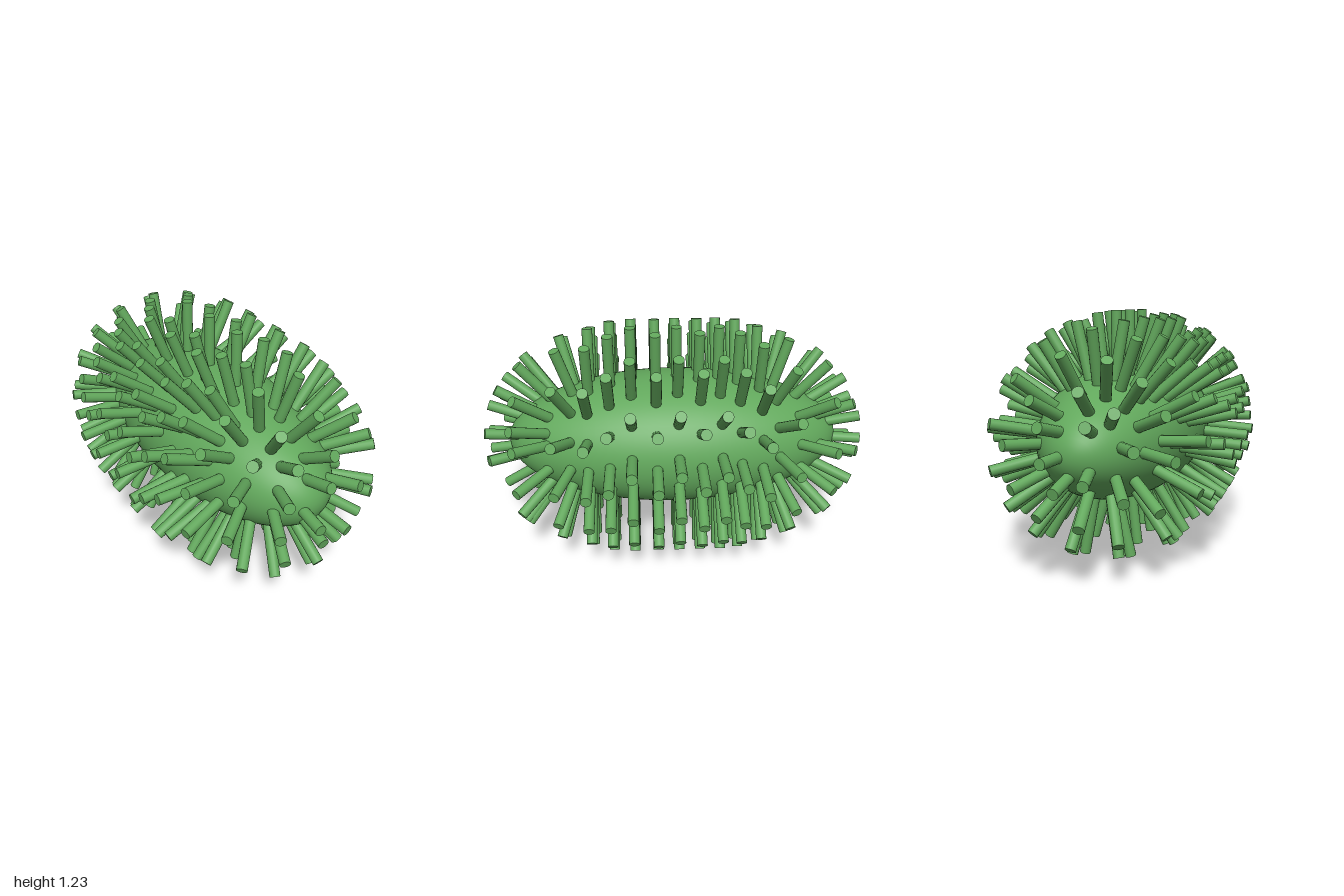
import * as THREE from 'three';

const CENTRE_Y = 0.62;
const SPINE_RADIUS = 0.027;
const CAP_Z = 0.44; // where the straight middle turns into the rounded ends
const CAP_RADIUS = 0.56; // reach of the spine tips from that point

export function createModel() {
  const model = new THREE.Group();
  const green = new THREE.MeshStandardMaterial({ color: 0x62a85c });

  // Smooth egg-shaped body lying along z
  const body = new THREE.Mesh(new THREE.SphereGeometry(1, 64, 40).rotateX(Math.PI / 2), green);
  body.name = 'body';
  body.scale.set(0.39, 0.345, 0.87);
  body.position.y = CENTRE_Y + 0.006;
  model.add(body);

  // A spine is a round peg ending at tip and pointing along dir
  const up = new THREE.Vector3(0, 1, 0);
  const spineGeometry = (length) => new THREE.CylinderGeometry(SPINE_RADIUS, SPINE_RADIUS, length, 16).translate(0, -length / 2, 0);
  const longSpine = spineGeometry(0.34);
  const shortSpine = spineGeometry(0.28);
  function addSpine(group, geometry, tip, dir) {
    const spine = new THREE.Mesh(geometry, green);
    spine.name = 'spine';
    spine.position.copy(tip);
    spine.quaternion.setFromUnitVectors(up, dir.normalize());
    group.add(spine);
  }

  function newGroup(name) {
    const group = new THREE.Group();
    group.name = name;
    group.position.y = CENTRE_Y;
    model.add(group);
    return group;
  }

  // Evenly counted angles, slightly bunched along one diagonal
  function ringAngles(count, phase) {
    return Array.from({ length: count }, (_, i) => {
      const a = phase + (i * 360) / count;
      return a - 6 * Math.cos(THREE.MathUtils.degToRad(2 * a));
    });
  }

  function radial(degrees, radius, z) {
    const a = THREE.MathUtils.degToRad(degrees);
    return new THREE.Vector3(Math.cos(a) * radius, Math.sin(a) * radius, z);
  }

  // Upright rings along the middle: z, phase in degrees, tip radius
  const middle = newGroup('middleSpines');
  const rings = [
    [0.435, 4.3, 0.583], [0.325, 9.5, 0.61], [0.215, 16.2, 0.617],
    [0.092, 9, 0.617], [-0.016, 16.5, 0.617], [-0.128, 10, 0.617],
    [-0.23, 16.2, 0.617], [-0.328, 10.5, 0.61], [-0.438, 4.3, 0.583],
  ];
  for (const [z, phase, radius] of rings) {
    for (const a of ringAngles(16, phase)) addSpine(middle, longSpine, radial(a, radius, z), radial(a, 1, 0));
  }

  // End spines fan out from one point; side is +1 for front, -1 for back
  function addCapSpine(group, side, degrees, radius) {
    const dir = radial(degrees, radius, side * Math.sqrt(CAP_RADIUS ** 2 - radius ** 2));
    const tip = dir.clone();
    tip.z += side * CAP_Z;
    addSpine(group, shortSpine, tip, dir);
  }

  // Outer fans: count, front phase, back phase, tip radius
  const front = newGroup('frontSpines');
  const back = newGroup('backSpines');
  const fans = [[15, 4, 12, 0.54], [13, -114, 20, 0.44]];
  for (const [count, frontPhase, backPhase, radius] of fans) {
    for (const a of ringAngles(count, frontPhase)) addCapSpine(front, 1, a, radius);
    for (const a of ringAngles(count, backPhase)) addCapSpine(back, -1, a, radius);
  }

  // Looser inner spines around each pole: angle, tip radius
  const frontInner = [
    [84, 0.305], [118, 0.33], [147, 0.265], [184, 0.26], [222, 0.285], [269, 0.29], [303, 0.45], [5, 0.27], [34, 0.43],
    [-45, 0.126], [-120, 0.11], [180, 0.085], [97, 0.19], [37, 0.2],
  ];
  for (const [a, radius] of frontInner) addCapSpine(front, 1, a, radius);
  for (const a of ringAngles(9, 15)) addCapSpine(back, -1, a, 0.3);
  const backInner = [[0, 0.085], [-75, 0.13], [-140, 0.13], [124, 0.19], [55, 0.18]];
  for (const [a, radius] of backInner) addCapSpine(back, -1, a, radius);
  return model;
}
